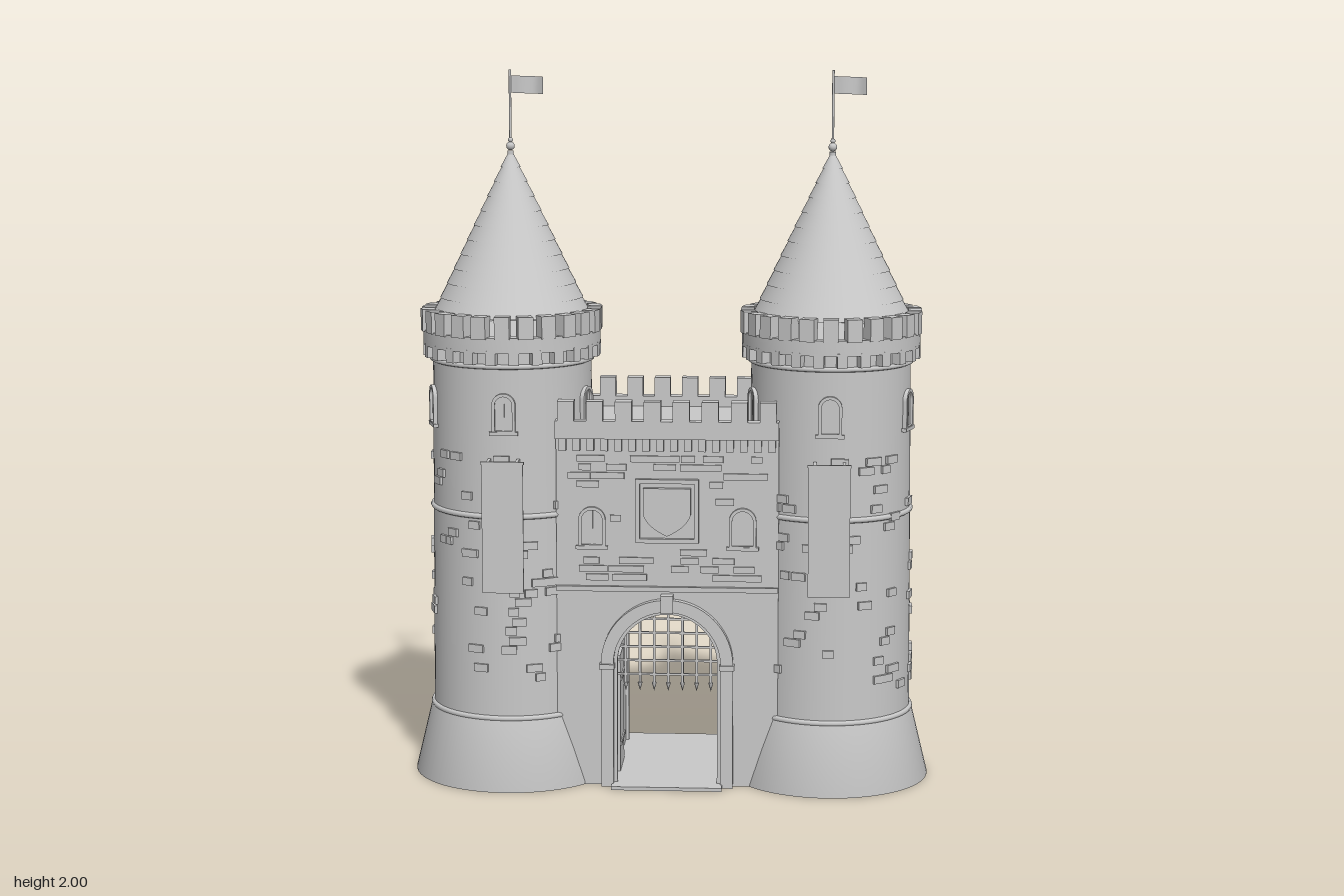
import * as THREE from 'three';
import { mergeGeometries, toCreasedNormals } from 'three/addons/utils/BufferGeometryUtils.js';

const stone = new THREE.MeshStandardMaterial({ color: 0xc8c8c8 });
stone.name = 'paleStone';
const stoneThin = new THREE.MeshStandardMaterial({ color: 0xc8c8c8, side: THREE.DoubleSide });
stoneThin.name = 'paleStoneThin';

const TX = 0.45, TZ = 0.016; // tower axis
const FRONT = 0.2, BACK = -0.245; // gatehouse wall faces

// Small seeded generator for the scattered masonry
function seeded(seed) {
  let s = seed;
  return () => (s = (s * 16807) % 2147483647) / 2147483647;
}

function add(parent, name, geo, mat = stone) {
  const mesh = new THREE.Mesh(geo, mat);
  mesh.name = name;
  parent.add(mesh);
  return mesh;
}

// Merge parts of mixed kinds into one geometry
const merge = (list) => mergeGeometries(list.map((g) => {
  const n = g.index ? g.toNonIndexed() : g;
  n.deleteAttribute('uv');
  return n;
}));

const box = (w, h, d, x, y, z) => new THREE.BoxGeometry(w, h, d).translate(x, y, z);
const drum = (rt, rb, y0, y1, n = 64) =>
  new THREE.CylinderGeometry(rt, rb, y1 - y0, n).translate(0, (y0 + y1) / 2, 0);
const ring = (r, t, y) => new THREE.TorusGeometry(r, t, 8, 64).rotateX(Math.PI / 2).translate(0, y, 0);
const lathe = (pts) => toCreasedNormals(
  new THREE.LatheGeometry(pts.map((p) => new THREE.Vector2(...p)), 64), 0.6);
const towerRadius = (y) => 0.232 - 0.008 * (y - 0.2);

// Round-headed outline; half width w, from y0 to springing y1
function archPath(w, y0, y1, Kind = THREE.Shape) {
  const p = new Kind();
  p.moveTo(-w, y0);
  p.lineTo(w, y0);
  p.lineTo(w, y1);
  p.absarc(0, y1, w, 0, Math.PI, false);
  p.lineTo(-w, y0);
  return p;
}

function extrude(shape, depth, z = 0) {
  return new THREE.ExtrudeGeometry(shape, { depth, bevelEnabled: false, curveSegments: 20 }).translate(0, 0, z);
}

// Window surround with recessed pane, sill and mullion, facing +z
function windowGeo(w, h) {
  const frame = archPath(w, 0, h - w);
  frame.holes.push(archPath(w - 0.009, 0.008, h - w, THREE.Path));
  return merge([
    extrude(frame, 0.016, -0.006),
    extrude(archPath(w - 0.008, 0.004, h - w), 0.006, -0.004),
    box(w * 2 + 0.014, 0.01, 0.022, 0, 0, 0),
    box(0.005, h - 0.01, 0.006, 0, h / 2, 0.002),
  ]);
}

// Scattered raised blocks wrapped round the tower
function towerBricks(seed) {
  const rnd = seeded(seed), list = [];
  for (let i = 0; i < 85; i++) {
    const row = Math.floor(rnd() * 25), y = 0.29 + row * 0.027;
    if (Math.abs(y - 0.775) < 0.025) continue;
    const a = rnd() * Math.PI * 2, pair = rnd() > 0.6 ? 2 : 1;
    for (let k = 0; k < pair; k++) {
      list.push(box(0.028 + rnd() * 0.024, 0.022, 0.012, 0, y + k * 0.025, towerRadius(y) + 0.001)
        .rotateY(a + k * 0.1));
    }
  }
  return merge(list);
}

function around(n, make, offset = 0) {
  const list = [];
  for (let i = 0; i < n; i++) list.push(make(i).rotateY((i + offset) / n * Math.PI * 2));
  return merge(list);
}

function makeTower(side) {
  const t = new THREE.Group();
  t.name = side > 0 ? 'leftTower' : 'rightTower';
  t.position.set(side * TX, 0, TZ);
  add(t, 'towerBase', lathe([[0, 0], [0.285, 0], [0.285, 0.006], [0.238, 0.2], [0, 0.2]]));
  add(t, 'towerBody', drum(0.223, 0.232, 0.19, 1.27));
  add(t, 'stringCourses', merge([ring(0.233, 0.008, 0.2), ring(0.227, 0.008, 0.775), ring(0.226, 0.007, 1.195)]));
  add(t, 'towerBricks', towerBricks(side > 0 ? 4711 : 9203));

  const windows = [];
  for (let i = 0; i < 5; i++) {
    windows.push(windowGeo(0.033, 0.112).translate(0, 1.01, 0.224).rotateY(i * Math.PI * 0.4 * side));
  }
  add(t, 'towerWindows', merge(windows));

  // Corbels, parapet and merlons
  add(t, 'corbels', around(24, () => box(0.028, 0.04, 0.04, 0, 1.222, 0.23), 0.5));
  add(t, 'parapet', lathe([[0.212, 1.235], [0.25, 1.235], [0.25, 1.278], [0.212, 1.278], [0.212, 1.235]]));
  add(t, 'merlons', around(24, (i) => box(0.042, 0.062, 0.038, 0, 1.305, 0.234 + (i % 2) * 0.003)));

  // Conical roof in overlapping courses
  const courses = 11, y0 = 1.325, y1 = 1.77, list = [];
  const r = (f) => 0.217 * (1 - f) + 0.006 * f;
  for (let i = 0; i < courses; i++) {
    const f0 = i / courses, f1 = (i + 1) / courses;
    list.push(drum(r(f1), r(f0) + 0.003, y0 + f0 * (y1 - y0), y0 + f1 * (y1 - y0)));
  }
  add(t, 'roof', merge(list));
  add(t, 'finial', merge([
    drum(0.009, 0.009, 1.76, 1.775, 16),
    new THREE.SphereGeometry(0.012, 16, 12).translate(0, 1.788, 0),
    new THREE.SphereGeometry(0.007, 12, 8).translate(0, 1.805, 0),
    drum(0.0035, 0.0035, 1.79, 2.0, 10),
  ]));

  // Waving flag
  const flag = new THREE.PlaneGeometry(0.093, 0.048, 16, 1).translate(0.0465, 1.96, 0);
  const p = flag.attributes.position;
  for (let i = 0; i < p.count; i++) {
    const x = p.getX(i);
    p.setZ(i, Math.sin(x * 75) * 0.1 * x);
    p.setY(i, p.getY(i) - x * 0.04);
  }
  flag.computeVertexNormals();
  add(t, 'flag', flag, stoneThin);

  // Hanging banner on a bracket
  add(t, 'banner', box(0.115, 0.365, 0.005, 0, 0.752, 0.272));
  add(t, 'bannerRail', merge([
    box(0.12, 0.008, 0.008, 0, 0.935, 0.272),
    box(0.008, 0.008, 0.06, -0.04, 0.935, 0.245),
    box(0.008, 0.008, 0.06, 0.04, 0.935, 0.245),
  ]));
  return t;
}

// Dressing of one gatehouse face, built facing +z with the wall at z = 0
function makeFace(name, seed) {
  const f = new THREE.Group();
  f.name = name;
  const arch = archPath(0.185, 0, 0.355);
  arch.holes.push(archPath(0.15, 0, 0.355, THREE.Path));
  add(f, 'archSurround', extrude(arch, 0.025, -0.002));
  const inner = archPath(0.152, 0, 0.355);
  inner.holes.push(archPath(0.14, 0, 0.355, THREE.Path));
  add(f, 'archInnerRim', extrude(inner, 0.015, -0.01));
  add(f, 'keystone', box(0.035, 0.05, 0.034, 0, 0.528, 0.012));
  add(f, 'imposts', merge([-1, 1].map((s) => box(0.042, 0.014, 0.034, s * 0.168, 0.348, 0.012))));
  add(f, 'stringCourse', box(0.62, 0.014, 0.016, 0, 0.568, 0.004));
  add(f, 'wallWindows', merge([-1, 1].map((s) => windowGeo(0.038, 0.115).translate(s * 0.21, 0.685, 0))));

  // Corbel table, parapet and merlons
  const corbels = [], merlons = [];
  for (let i = 0; i < 16; i++) corbels.push(box(0.02, 0.036, 0.024, -0.29 + i * 0.0387, 0.978, 0.01));
  for (let i = 0; i < 8; i++) merlons.push(box(0.046, 0.06, 0.04, -0.28 + i * 0.08, 1.07, 0.01));
  add(f, 'corbelTable', merge(corbels));
  add(f, 'parapet', box(0.62, 0.05, 0.04, 0, 1.02, 0.01));
  add(f, 'merlons', merge(merlons));

  // Raised blocks, kept off the windows and shield
  const rnd = seeded(seed), list = [];
  for (let i = 0; i < 100; i++) {
    const w = 0.03 + rnd() * 0.05, x = (rnd() - 0.5) * 0.52, y = 0.6 + Math.floor(rnd() * 15) * 0.024;
    const nearWindow = Math.abs(Math.abs(x) - 0.21) < 0.05 + w / 2 && y > 0.665 && y < 0.815;
    const nearShield = Math.abs(x) < 0.1 + w / 2 && y > 0.68 && y < 0.9;
    if (!nearWindow && !nearShield) list.push(box(w, 0.018, 0.01, x, y, 0.001));
  }
  add(f, 'wallBricks', merge(list));
  return f;
}

function makeShield() {
  const g = new THREE.Group();
  g.name = 'shieldPanel';
  g.position.set(0, 0.7, FRONT);
  const frame = new THREE.Shape([[-0.088, 0], [0.088, 0], [0.088, 0.18], [-0.088, 0.18]].map((p) => new THREE.Vector2(...p)));
  frame.holes.push(new THREE.Path([[-0.076, 0.012], [0.076, 0.012], [0.076, 0.168], [-0.076, 0.168]].map((p) => new THREE.Vector2(...p))));
  add(g, 'shieldFrame', extrude(frame, 0.014));
  const s = new THREE.Shape();
  s.moveTo(-0.066, 0.155);
  s.lineTo(0.066, 0.155);
  s.lineTo(0.066, 0.08);
  s.quadraticCurveTo(0.055, 0.045, 0, 0.02);
  s.quadraticCurveTo(-0.055, 0.045, -0.066, 0.08);
  add(g, 'shield', extrude(s, 0.016));
  return g;
}

function makeGatehouse() {
  const g = new THREE.Group();
  g.name = 'gatehouse';

  // Block pierced by the arched passage
  const wall = new THREE.Shape();
  wall.moveTo(-0.31, 0);
  wall.lineTo(-0.15, 0);
  wall.lineTo(-0.15, 0.355);
  wall.absarc(0, 0.355, 0.15, Math.PI, 0, true);
  wall.lineTo(0.15, 0);
  wall.lineTo(0.31, 0);
  wall.lineTo(0.31, 1.015);
  wall.lineTo(-0.31, 1.015);
  add(g, 'gatehouseBlock', toCreasedNormals(extrude(wall, FRONT - BACK, BACK), 0.5));
  add(g, 'threshold', box(0.31, 0.01, 0.565, 0, 0.005, -0.0275));

  const front = makeFace('frontFace', 1337);
  front.position.z = FRONT;
  const back = makeFace('backFace', 2718);
  back.rotation.y = Math.PI;
  back.position.z = BACK;
  g.add(front, back, makeShield());

  // Raised portcullis with pointed feet
  const bars = [];
  for (let i = -3; i <= 3; i++) {
    const x = i * 0.04, top = 0.355 + Math.sqrt(0.15 ** 2 - x * x);
    bars.push(box(0.007, top - 0.285, 0.007, x, (top + 0.285) / 2, 0.15));
    bars.push(new THREE.ConeGeometry(0.007, 0.025, 8).rotateX(Math.PI).translate(x, 0.274, 0.15));
  }
  for (let y = 0.31; y < 0.5; y += 0.04) {
    const half = Math.sqrt(0.15 ** 2 - Math.max(0, y - 0.355) ** 2);
    bars.push(box(half * 2, 0.006, 0.006, 0, y, 0.15));
  }
  add(g, 'portcullis', merge(bars));

  // Door leaves folded back against the passage walls
  for (const s of [-1, 1]) {
    add(g, 'doorLeaf', merge([
      box(0.01, 0.34, 0.14, s * 0.145, 0.18, 0.03),
      box(0.014, 0.012, 0.13, s * 0.143, 0.09, 0.03),
      box(0.014, 0.012, 0.13, s * 0.143, 0.28, 0.03),
    ]));
  }
  return g;
}

export function createModel() {
  const castle = new THREE.Group();
  castle.name = 'castleGate';
  castle.add(makeTower(1), makeTower(-1), makeGatehouse());
  return castle;
}
